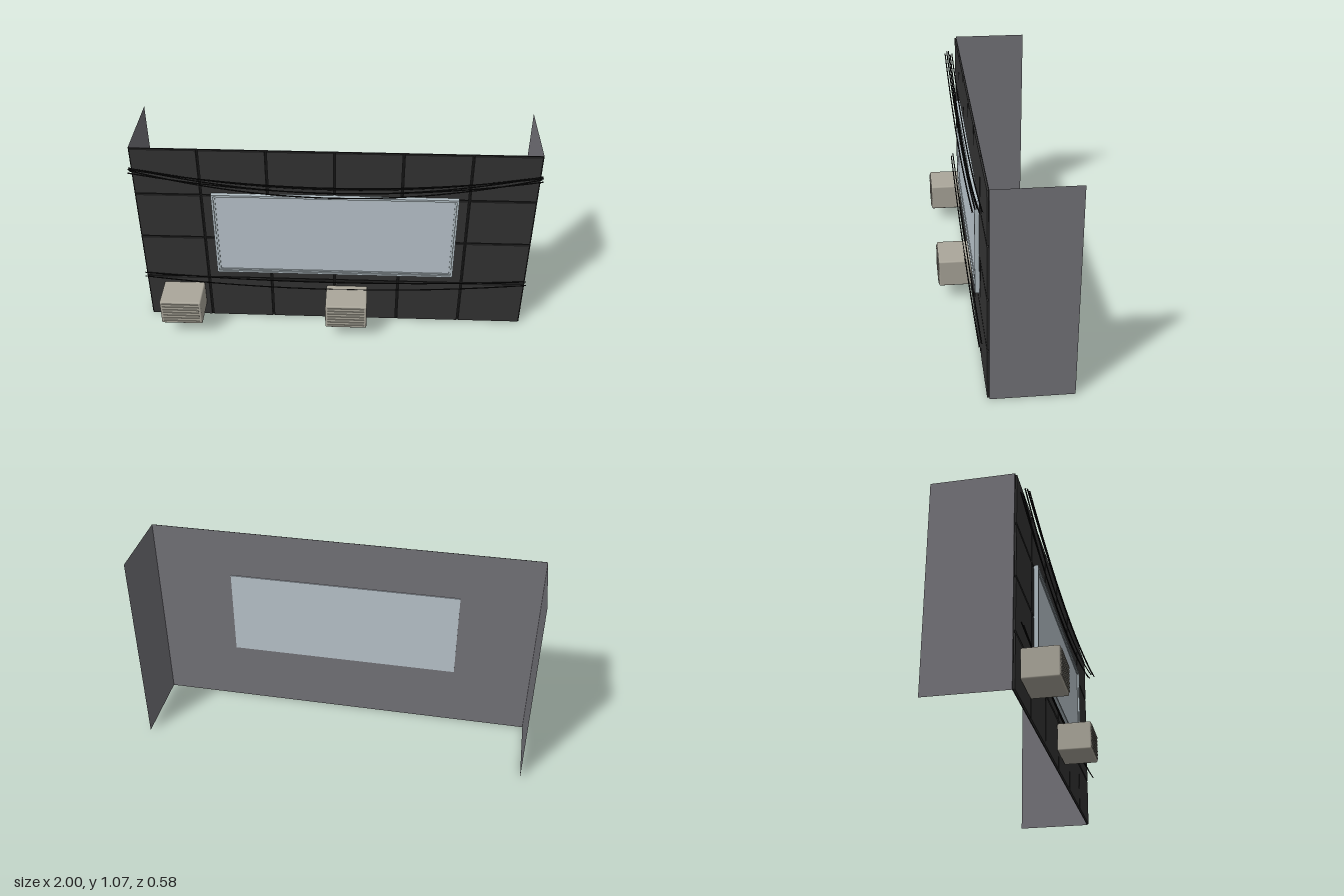
import * as THREE from 'three';
import { RoundedBoxGeometry } from 'three/addons/geometries/RoundedBoxGeometry.js';

const W = 2, H = 1.065, WALL_Z = 0.105;

function material(name, color, side = THREE.FrontSide) {
  const m = new THREE.MeshStandardMaterial({ color, side });
  m.name = name;
  return m;
}

export function createModel() {
  const model = new THREE.Group();
  model.name = 'facadeSection';
  const wallMat = material('wall grey', 0x747379, THREE.DoubleSide);
  const tileMat = material('panel charcoal', 0x333333);
  const blackMat = material('seam and cable black', 0x141414);
  const glassMat = material('window pale blue', 0xbac5cd);
  const frameMat = material('frame pale blue grey', 0xb2bec4);
  const unitMat = material('air unit beige', 0xaba79b);

  function add(parent, name, geometry, mat, x = 0, y = 0, z = 0) {
    const mesh = new THREE.Mesh(geometry, mat);
    mesh.name = name;
    mesh.position.set(x, y, z);
    parent.add(mesh);
    return mesh;
  }

  // Open shell: main wall and two returns running back
  add(model, 'mainWall', new THREE.PlaneGeometry(W, H), wallMat, 0, H / 2, WALL_Z);
  const depth = WALL_Z + 0.29;
  for (const s of [-1, 1]) {
    const side = add(model, s > 0 ? 'leftReturnWall' : 'rightReturnWall',
      new THREE.PlaneGeometry(depth, H), wallMat, s * W / 2, H / 2, WALL_Z - depth / 2);
    side.rotation.y = s * Math.PI / 2;
  }

  // Cladding panels over a dark backing that shows in the seams
  const cladding = new THREE.Group();
  cladding.name = 'cladding';
  model.add(cladding);
  add(cladding, 'seamBacking', new THREE.PlaneGeometry(W, H), blackMat, 0, H / 2, WALL_Z + 0.002);
  const cols = 6, rows = 4, gap = 0.011;
  const pw = W / cols, ph = H / rows;
  const panelGeo = new THREE.BoxGeometry(pw - gap, ph - gap, 0.008);
  for (let i = 0; i < cols; i++) {
    for (let j = 0; j < rows; j++) {
      add(cladding, 'panel', panelGeo, tileMat,
        -W / 2 + (i + 0.5) * pw, (j + 0.5) * ph, WALL_Z + 0.006);
    }
  }

  // Window: recessed glass through the wall, with a stepped frame
  const win = new THREE.Group();
  win.name = 'window';
  win.position.set(0, 0.568, 0);
  model.add(win);
  add(win, 'glass', new THREE.BoxGeometry(1.2, 0.47, 0.025), glassMat, 0, 0, 0.1125);

  function frame(name, w, h, t, z0, z1) {
    const shape = new THREE.Shape();
    shape.moveTo(-w / 2, -h / 2).lineTo(w / 2, -h / 2).lineTo(w / 2, h / 2).lineTo(-w / 2, h / 2).closePath();
    const hole = new THREE.Path();
    const a = w / 2 - t, b = h / 2 - t;
    hole.moveTo(-a, -b).lineTo(-a, b).lineTo(a, b).lineTo(a, -b).closePath();
    shape.holes.push(hole);
    add(win, name, new THREE.ExtrudeGeometry(shape, { depth: z1 - z0, bevelEnabled: false }), frameMat, 0, 0, z0);
  }
  frame('outerFrame', 1.23, 0.492, 0.011, 0.108, 0.136);
  frame('innerFrame', 1.21, 0.472, 0.009, 0.108, 0.130);

  // Air conditioning units with louvred fronts
  for (const x of [-0.8, 0.065]) {
    const unit = new THREE.Group();
    unit.name = 'airUnit';
    unit.position.set(x, 0.16, 0);
    model.add(unit);
    add(unit, 'unitBody', new RoundedBoxGeometry(0.216, 0.146, 0.172, 2, 0.008), unitMat, 0, 0, 0.202);
    const slatGeo = new THREE.BoxGeometry(0.19, 0.009, 0.007);
    for (let i = 0; i < 7; i++) {
      add(unit, 'louvre', slatGeo, unitMat, 0, -0.056 + i * 0.0187, 0.2885);
    }
  }

  // Sagging cables: [height at the ends, height at mid span, z]
  const cables = [
    [0.961, 0.868, 0.173], [0.975, 0.891, 0.163], [0.977, 0.852, 0.153],
    [0.954, 0.818, 0.143], [0.961, 0.862, 0.133],
    [0.292, 0.231, 0.149], [0.308, 0.270, 0.139],
  ];
  for (const [end, mid, z] of cables) {
    const points = [];
    for (let i = 0; i <= 16; i++) {
      const x = -1 + i / 8;
      points.push(new THREE.Vector3(x, mid + (end - mid) * x * x, z));
    }
    add(model, 'cable', new THREE.TubeGeometry(new THREE.CatmullRomCurve3(points), 32, 0.0032, 6), blackMat);
  }
  return model;
}
